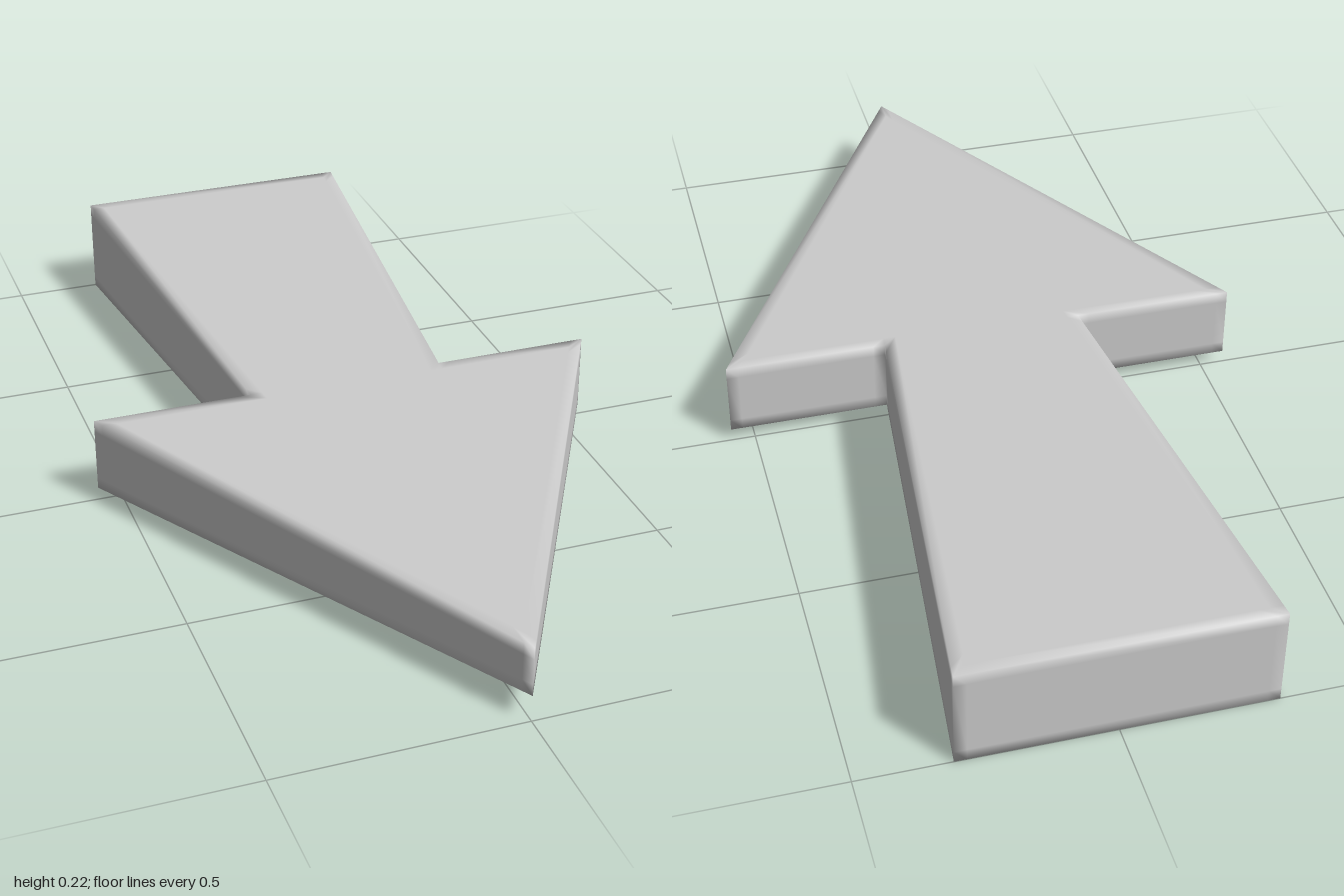
import * as THREE from 'three';

const MID = 0.109;    // height of the arrow's middle plane
const EDGE = 0.025;   // width of the softly shaded band along each edge

// Half thickness tapers evenly from tail (z = -1) to tip (z = 1)
const halfThickness = (z) => 0.08 - 0.028 * z;

// Right half of the outline as [x, z], tip first; the other half is mirrored
const half = [[0.55, 0], [0.212, 0], [0.312, -1]];
const outline = [
  [0, 1], ...half, ...half.map(([x, z]) => [-x, z]).reverse(),
].map(([x, z]) => new THREE.Vector2(x, -z)); // counter-clockwise from above

// Move every side of the outline inward by d, with mitred corners
function inset(points, d) {
  const n = points.length;
  const inward = (a, b) => {
    const e = b.clone().sub(a).normalize();
    return new THREE.Vector2(-e.y, e.x);
  };
  return points.map((p, i) => {
    const n1 = inward(points[(i + n - 1) % n], p);
    const n2 = inward(p, points[(i + 1) % n]);
    return p.clone().addScaledVector(n1.clone().add(n2), d / (1 + n1.dot(n2)));
  });
}

// Add a point shortly before and after each corner
function addSupport(points, d) {
  const n = points.length;
  const toward = (p, q) => p.clone().add(q.clone().sub(p).setLength(d));
  return points.flatMap((p, i) => [
    toward(p, points[(i + n - 1) % n]), p, toward(p, points[(i + 1) % n]),
  ]);
}

function arrowGeometry() {
  const rim = addSupport(outline, EDGE);
  const cap = addSupport(inset(outline, EDGE), EDGE);
  const count = rim.length;

  // Rings from the top face, down the side, to the bottom face
  const rings = [
    [cap, 1, 0], [rim, 1, 0], [rim, 1, -EDGE],
    [rim, -1, EDGE], [rim, -1, 0], [cap, -1, 0],
  ];
  const positions = [];
  for (const [ring, side, shift] of rings) {
    for (const p of ring) {
      positions.push(p.x, MID + side * halfThickness(-p.y) + shift, -p.y);
    }
  }

  // Walls between neighbouring rings
  const index = [];
  for (let r = 0; r < rings.length - 1; r++) {
    for (let i = 0; i < count; i++) {
      const a = r * count + i;
      const b = r * count + (i + 1) % count;
      index.push(a, a + count, b + count, a, b + count, b);
    }
  }

  // Top and bottom faces
  const last = (rings.length - 1) * count;
  for (const [a, b, c] of THREE.ShapeUtils.triangulateShape(cap, [])) {
    index.push(a, b, c, last + a, last + c, last + b);
  }

  const geometry = new THREE.BufferGeometry();
  geometry.setAttribute('position', new THREE.Float32BufferAttribute(positions, 3));
  geometry.setIndex(index);
  geometry.computeVertexNormals();
  return geometry;
}

export function createModel() {
  const group = new THREE.Group();
  group.name = 'arrowModel';
  const material = new THREE.MeshStandardMaterial({ color: 0xcccccc });
  const arrow = new THREE.Mesh(arrowGeometry(), material);
  arrow.name = 'arrow';
  group.add(arrow);
  return group;
}
